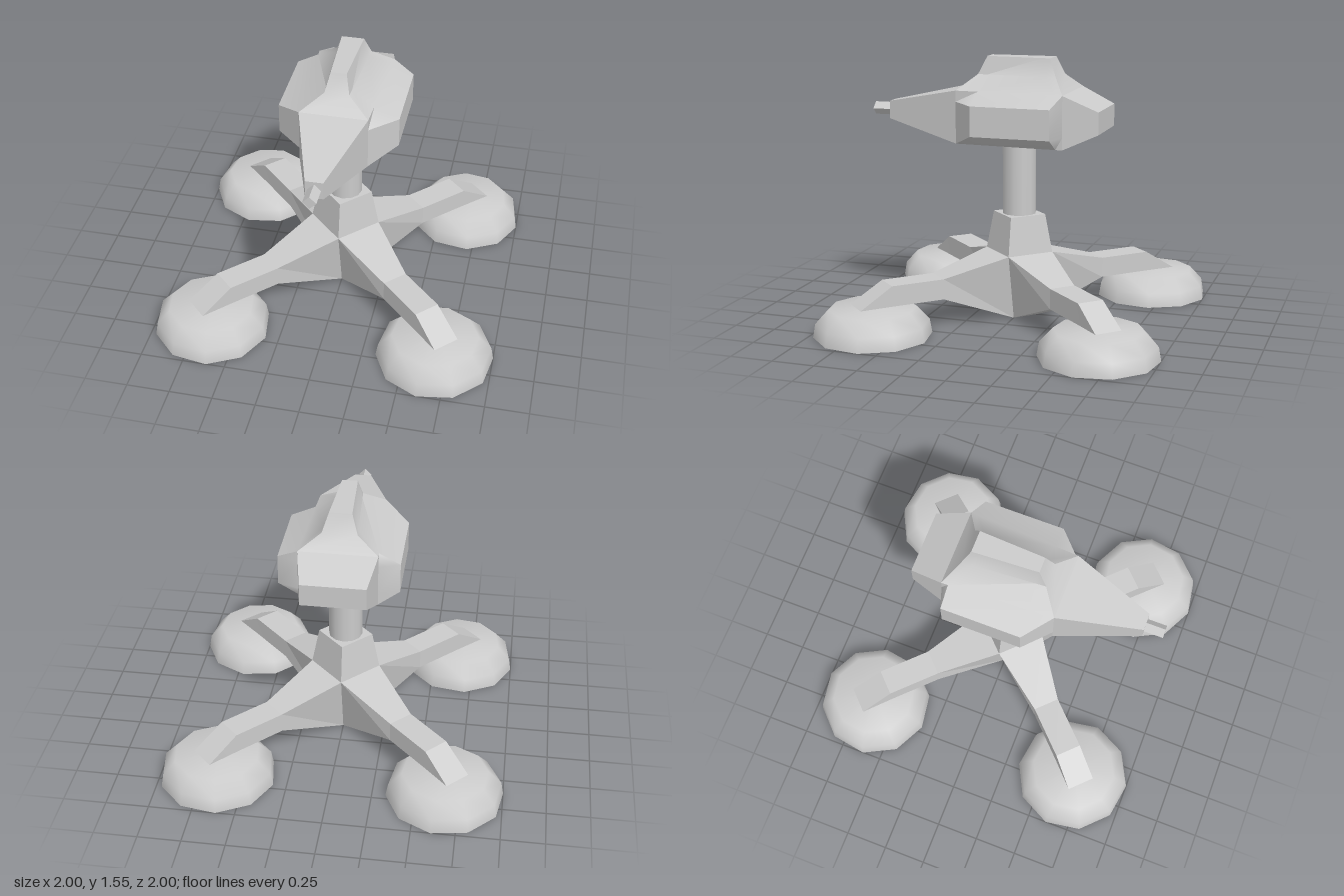
import * as THREE from 'three';
import { toCreasedNormals } from 'three/addons/utils/BufferGeometryUtils.js';

const grey = new THREE.MeshStandardMaterial({ color: 0xcccccc });
const thin = new THREE.MeshStandardMaterial({ color: 0xcccccc, side: THREE.DoubleSide });

function add(parent, name, geometry, material = grey) {
  const mesh = new THREE.Mesh(geometry, material);
  mesh.name = name;
  parent.add(mesh);
  return mesh;
}

// Skins equal-length rings, counterclockwise seen from the last ring's side.
function loft(rings, { capStart = false, capEnd = false, crease = 0.1 } = {}) {
  const n = rings[0].length;
  const index = [];
  for (let r = 0; r < rings.length - 1; r++) {
    for (let i = 0; i < n; i++) {
      const j = (i + 1) % n;
      const a = r * n + i, b = r * n + j;
      index.push(a, b, b + n, a, b + n, a + n);
    }
  }
  const last = (rings.length - 1) * n;
  for (let i = 1; i < n - 1; i++) {
    if (capStart) index.push(0, i + 1, i);
    if (capEnd) index.push(last, last + i, last + i + 1);
  }
  const geometry = new THREE.BufferGeometry();
  geometry.setAttribute('position', new THREE.Float32BufferAttribute(rings.flat(2), 3));
  geometry.setIndex(index);
  return toCreasedNormals(geometry, crease);
}

// Upright rectangle across z
const rect = (x, y0, y1, z) => [[x, y0, z], [x, y1, z], [-x, y1, z], [-x, y0, z]];

// Horizontal eight-cornered ring, mirrored in x: front, two side corners, rear
function deck(y, front, sideFront, sideRear, rear) {
  const half = [front, sideFront, sideRear, rear];
  return [
    ...half.map(([x, z]) => [x, y, z]),
    ...half.reverse().map(([x, z]) => [-x, y, z]),
  ];
}

// One section of a diagonal leg: near/far coordinates swap between its two sides
const legSection = ([a, b, top], [c, d, bottom]) => [
  [b, top, a], [a, top, b], [c, bottom, d], [d, bottom, c],
];

function createLeg() {
  const leg = new THREE.Group();
  add(leg, 'legArm', loft([
    legSection([0, 0.205, 0.395], [0, 0.11, 0]),
    legSection([0.32, 0.43, 0.295], [0.32, 0.43, 0.175]),
    legSection([0.545, 0.655, 0.295], [0.545, 0.655, 0.175]),
    legSection([0.68, 0.795, 0.175], [0.68, 0.795, 0.175]),
  ]));

  // Hollow ten-sided foot, a flat side facing outward
  const profile = [[0.34, 0], [0.326, 0.08], [0.25, 0.163], [0, 0.18]]
    .map(([r, y]) => new THREE.Vector2(r, y));
  const foot = add(leg, 'foot',
    new THREE.LatheGeometry(profile, 10, THREE.MathUtils.degToRad(63)), thin);
  foot.position.set(0.665, 0, 0.665);
  return leg;
}

function createHead() {
  const head = new THREE.Group();
  head.name = 'head';

  // Faceted shell sweeping up into the top fin
  const F = [0.195, 0.325], R = [0.225, -0.325];
  const SF = [0.345, 0.185], SR = [0.345, -0.285];
  const inF = [0.202, 0.185], inR = [0.223, -0.285];
  add(head, 'headShell', loft([
    deck(1.05, F, inF, inR, R),
    deck(1.12, F, SF, SR, R),
    deck(1.295, F, SF, SR, R),
    deck(1.36, F, inF, inR, R),
    deck(1.445, [0.07, 0.23], [0.074, 0.17], [0.096, -0.19], [0.1, -0.25]),
    deck(1.55, [0.045, 0.18], [0.048, 0.13], [0.062, -0.16], [0.065, -0.205]),
  ], { capStart: true, capEnd: true, crease: 0.72 }));

  // Tapered nose and rear block
  add(head, 'nose', loft([
    rect(0.195, 1.05, 1.36, 0.325),
    rect(0.05, 1.155, 1.26, 0.8),
  ], { capEnd: true }));
  add(head, 'rearBlock', loft([
    rect(0.185, 1.14, 1.27, -0.525),
    rect(0.225, 1.05, 1.36, -0.325),
  ], { capStart: true }));

  // Diamond-section barrel
  const barrel = add(head, 'barrel',
    toCreasedNormals(new THREE.CylinderGeometry(0.038, 0.038, 0.12, 4), 0.1));
  barrel.rotation.x = Math.PI / 2;
  barrel.position.set(0, 1.208, 0.852);
  return head;
}

export function createModel() {
  const model = new THREE.Group();
  model.name = 'turret';

  // Four legs round the hub
  for (let i = 0; i < 4; i++) {
    const leg = createLeg();
    leg.name = 'leg' + (i + 1);
    leg.rotation.y = i * Math.PI / 2;
    model.add(leg);
  }

  // Square hub with corners on the axes
  const hub = add(model, 'hub',
    toCreasedNormals(new THREE.CylinderGeometry(0.16, 0.205, 0.226, 4, 1), 0.1));
  hub.position.y = 0.508;
  const hubBottom = add(model, 'hubBottom', new THREE.CircleGeometry(0.11, 4));
  hubBottom.rotation.x = Math.PI / 2;

  const post = add(model, 'post', new THREE.CylinderGeometry(0.1, 0.1, 0.46, 12, 1, true));
  post.position.y = 0.83;

  model.add(createHead());
  return model;
}
